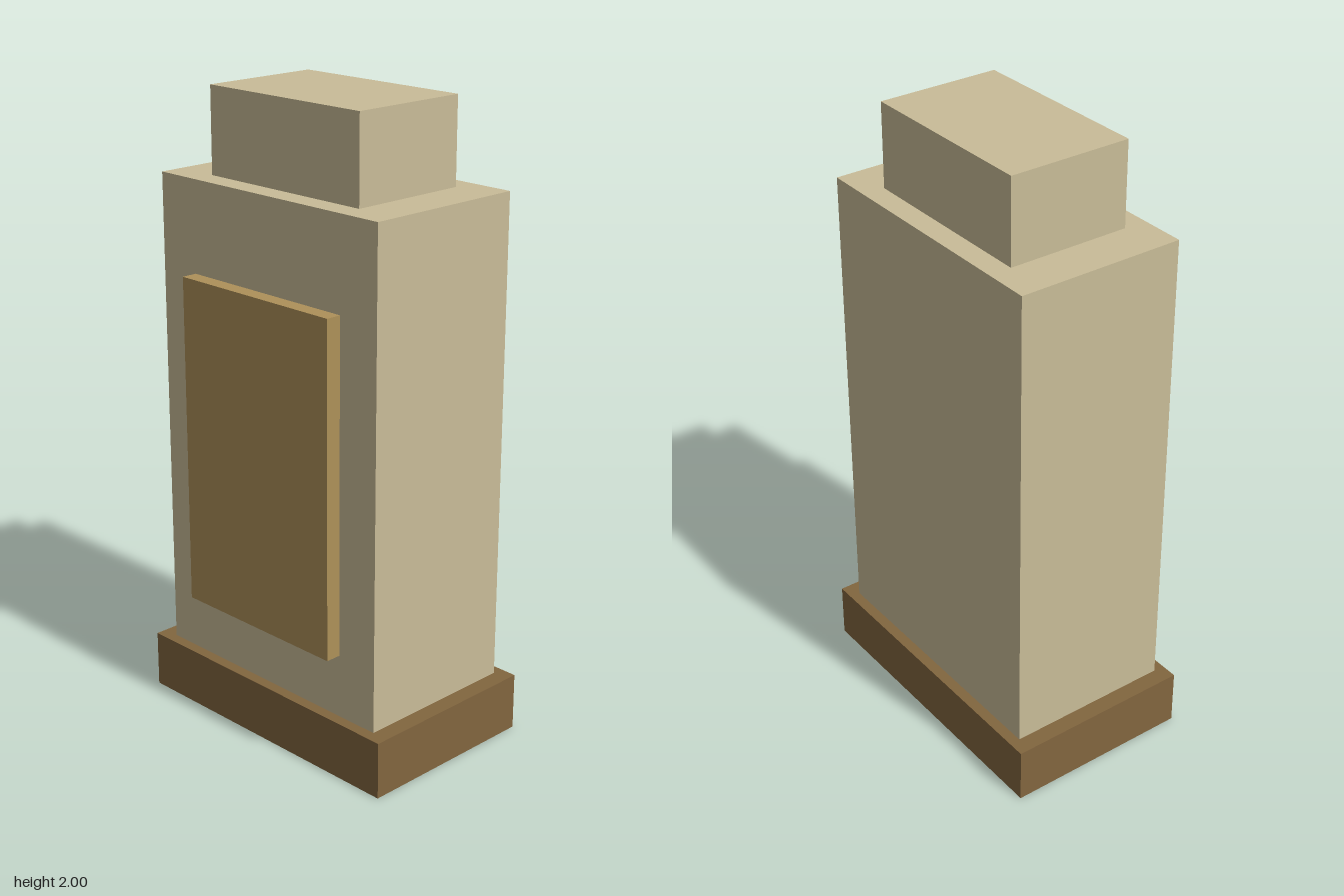
import * as THREE from 'three';

const material = (name, color) => {
  const m = new THREE.MeshStandardMaterial({ color });
  m.name = name;
  return m;
};

export function createModel() {
  const group = new THREE.Group();
  group.name = 'pedestalMonument';
  const stone = material('pale stone', 0xc9bc98);
  const darkWood = material('dark brown', 0x82663f);
  const bronze = material('bronze tan', 0xae9159);

  // Box spanning y0..y1 and z0..z1, centred on x = 0
  const block = (name, mat, width, y0, y1, z0, z1) => {
    const mesh = new THREE.Mesh(new THREE.BoxGeometry(width, y1 - y0, z1 - z0), mat);
    mesh.position.set(0, (y0 + y1) / 2, (z0 + z1) / 2);
    mesh.name = name;
    group.add(mesh);
  };

  block('base', darkWood, 1.016, 0, 0.183, -0.315, 0.3);
  block('body', stone, 0.906, 0.183, 1.73, -0.28, 0.264);
  block('cap', stone, 0.618, 1.73, 2, -0.208, 0.19);
  // Raised plaque on the front of the body
  block('frontPanel', bronze, 0.618, 0.385, 1.44, 0.264, 0.314);

  return group;
}
